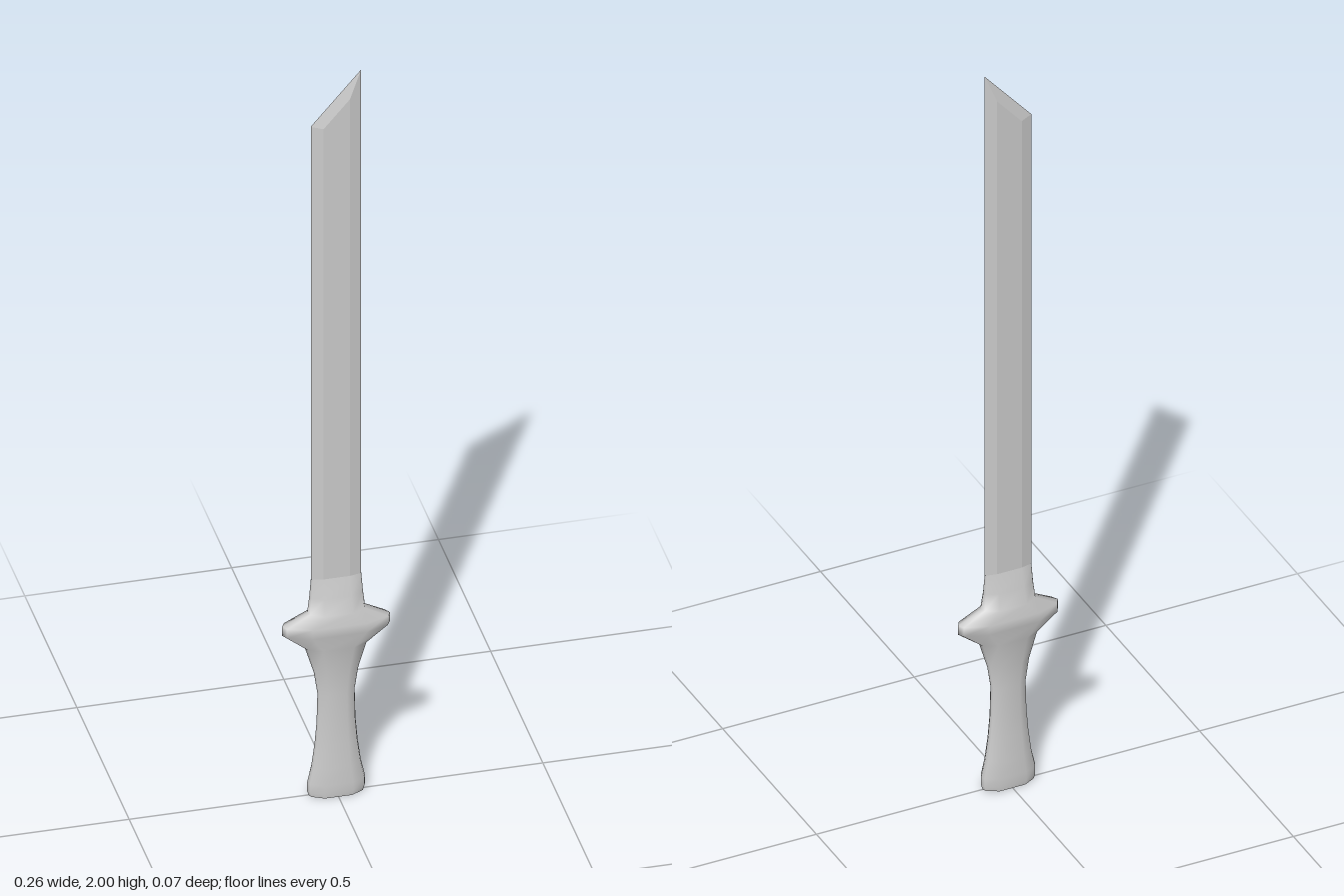
import * as THREE from 'three';

// Skin between rings of [x, y, z]; each ring runs counter-clockwise seen from above.
function loft(rings) {
  const n = rings[0].length, index = [];
  for (let i = 0; i < rings.length - 1; i++) {
    for (let j = 0; j < n; j++) {
      const a = i * n + j, b = i * n + (j + 1) % n;
      index.push(a, b, b + n, a, b + n, a + n);
    }
  }
  const geometry = new THREE.BufferGeometry();
  geometry.setAttribute('position', new THREE.Float32BufferAttribute(rings.flat(2), 3));
  geometry.setIndex(index);
  geometry.computeVertexNormals();
  return geometry;
}

// Mirror a quarter outline of [x, z] points into a full ring (first point lies on the x axis).
function fullOutline(quarter) {
  const half = [...quarter, ...quarter.slice(1).reverse().map(([x, z]) => [-x, z])];
  const back = half.map(([x, z]) => [x, -z]);
  const front = half.slice(1).reverse();
  return [...back, [-quarter[0][0], 0], ...front];
}

export function createModel() {
  const group = new THREE.Group();
  const add = (name, geometry, flatShading) => {
    const mesh = new THREE.Mesh(geometry, new THREE.MeshStandardMaterial({ color: 0xcccccc, flatShading }));
    mesh.name = name;
    group.add(mesh);
  };

  // Hilt: grip, guard and blade collar as one smooth body [y, half width, half depth]
  const outline = fullOutline([[1, 0], [0.94, 0.41], [0.5, 1]]);
  const profile = [
    [0, 0.066, 0.025], [0.012, 0.07, 0.026], [0.035, 0.07, 0.026], [0.08, 0.06, 0.024],
    [0.14, 0.052, 0.021], [0.2, 0.047, 0.019], [0.28, 0.045, 0.018], [0.34, 0.054, 0.02],
    [0.41, 0.075, 0.026], [0.453, 0.13, 0.034], [0.478, 0.13, 0.035], [0.508, 0.07, 0.029],
    [0.55, 0.065, 0.019], [0.6, 0.061, 0.009],
  ];
  const hiltRings = profile.map(([y, w, d]) => outline.map(([x, z]) => [x * w, y, z * d]));
  add('hilt', loft(hiltRings), false);

  // Flat pommel face
  const pommel = new THREE.ShapeGeometry(
    new THREE.Shape(outline.map(([x, z]) => new THREE.Vector2(x * 0.066, z * 0.025))));
  pommel.rotateX(Math.PI / 2);
  add('pommelFace', pommel, true);

  // Blade: flat middle, bevelled sides and a slanted, sharpened tip
  const section = fullOutline([[0.061, 0], [0.032, 0.008]]);
  const slant = (x) => 1.93 + x * 1.15;
  add('blade', loft([
    section.map(([x, z]) => [x, 0.59, z]),
    section.map(([x, z]) => [x, slant(x) - (z ? 0.04 : 0.001), z]),
    section.map(([x]) => [x, slant(x), 0]),
  ]), true);

  return group;
}
